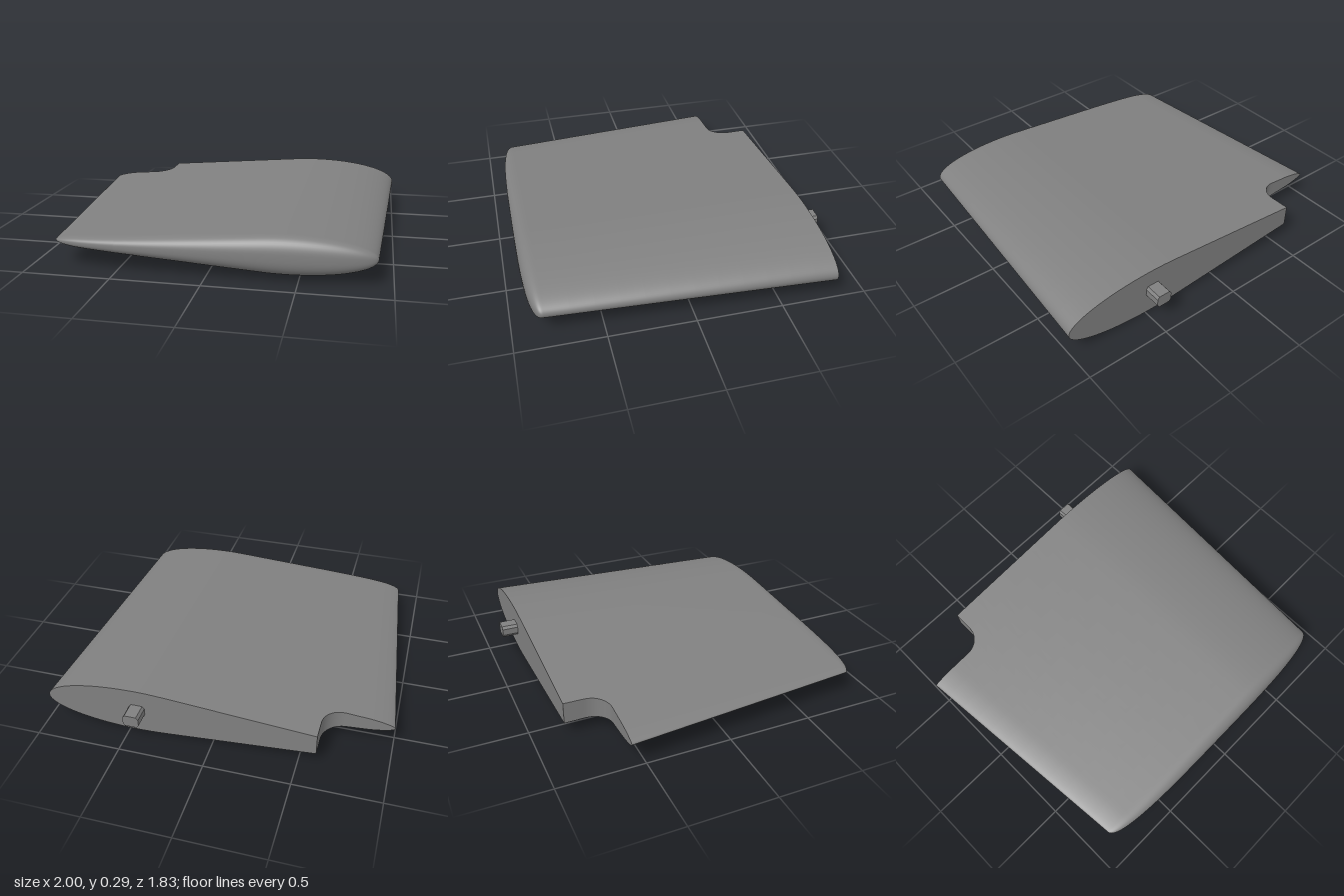
import * as THREE from 'three';
import { mergeVertices, toCreasedNormals } from 'three/addons/utils/BufferGeometryUtils.js';

const MID = 0.145, ROOT = -0.82, TIP = 0.82;
const lerp = THREE.MathUtils.lerp;
const along = z => (z - ROOT) / (TIP - ROOT);
const trailing = z => lerp(-1.022, -0.87, along(z));
const leading = z => lerp(1.0, 0.915, along(z));

// half thickness of the foil at chord fraction u (0 = trailing edge, 1 = leading edge)
function foil(u) {
  if (u > 0.73) return 0.145 * Math.sqrt(Math.max(0, 1 - ((u - 0.73) / 0.27) ** 2));
  const m = 0.167;
  const t = u > 0.65 ? 0.145 - m * (0.73 - u) ** 2 / 0.16 : 0.03 + m * u;
  return u < 0.08 ? t * Math.sqrt(Math.max(0, 1 - (1 - u / 0.08) ** 2)) : t;
}

// point on the foil at chord fraction u, span z, with k from 1 (top) to -1 (bottom)
function foilPoint(u, z, k, bulge = 0) {
  const y = foil(u) * lerp(1, 0.76, along(z)) * k;
  return [lerp(trailing(z), leading(z), u), MID + y, z + bulge];
}

// surface through rows of points
function grid(rows) {
  const n = rows[0].length, index = [];
  for (let j = 0; j < rows.length - 1; j++)
    for (let i = 0; i < n - 1; i++) {
      const a = j * n + i, b = a + n;
      index.push(a, b, a + 1, b, b + 1, a + 1);
    }
  const g = new THREE.BufferGeometry();
  g.setAttribute('position', new THREE.Float32BufferAttribute(rows.flat(2), 3));
  g.setIndex(index);
  return g;
}

// rear outline: notch, fillet, then the straight root; stored as [u, z]
function rearOutline() {
  const pts = [];
  const add = (x, z) => pts.push([(x - trailing(z)) / (leading(z) - trailing(z)), z]);
  const x0 = trailing(-0.58);
  for (let i = 0; i < 14; i++) add(lerp(x0, -0.72, (i / 14) ** 2), -0.58);
  for (let i = 0; i <= 10; i++) {
    const a = i / 10 * Math.PI / 2;
    add(-0.72 + 0.12 * Math.sin(a), -0.70 + 0.12 * Math.cos(a));
  }
  for (let i = 0; i <= 50; i++) add(lerp(-0.6, 1, Math.sin(i / 50 * Math.PI / 2)), ROOT);
  return pts;
}

export function createModel() {
  const group = new THREE.Group();
  const grey = new THREE.MeshStandardMaterial({ color: 0x808080 });
  const white = new THREE.MeshStandardMaterial({ color: 0xffffff });
  const add = (name, geometry, material = grey) => {
    const mesh = new THREE.Mesh(geometry, material);
    mesh.name = name;
    group.add(mesh);
    return mesh;
  };
  const outline = rearOutline();

  // skin: over the top, round the bulged tip, back along the underside
  const side = (t, k) => outline.map(([u, z]) => foilPoint(u, lerp(z, TIP, t), k));
  const rows = [];
  for (let j = 0; j < 12; j++) rows.push(side(j / 12, 1));
  for (let j = 0; j <= 24; j++) {
    const a = j / 24 * Math.PI, c = Math.cos(a);
    const k = Math.sign(c) * Math.abs(c) ** 0.8;
    const s = Math.max(0, Math.sin(a)) ** 0.8;
    rows.push(outline.map(([u]) => {
      const h = 0.095 * Math.max(0, 1 - Math.abs(2 * u - 1) ** 3.5) ** 0.4;
      return foilPoint(u, TIP, k, h * s);
    }));
  }
  for (let j = 11; j >= 0; j--) rows.push(side(j / 12, -1));
  const skin = mergeVertices(grid(rows), 1e-5);
  skin.computeVertexNormals();
  add('bladeSkin', skin);

  // root face, including the walls of the notch
  add('rootFace', toCreasedNormals(grid([side(0, -1), side(0, 1)]), 0.5));

  // pale panel lying on the underside next to the tip
  const panelRow = z => Array.from({ length: 13 }, (_, i) => foilPoint(lerp(0.31, 0.665, i / 12), z, -1.02));
  const panel = grid([panelRow(TIP), panelRow(0.35)]);
  panel.computeVertexNormals();
  add('undersidePanel', panel, white);

  // stub shaft: a bar with chamfered corners
  const section = new THREE.Shape([
    [0.047, -0.02], [0.047, 0.02], [0.035, 0.037], [-0.035, 0.037],
    [-0.047, 0.02], [-0.047, -0.02], [-0.035, -0.037], [0.035, -0.037],
  ].map(([x, y]) => new THREE.Vector2(x, y)));
  const stub = new THREE.ExtrudeGeometry(section, { depth: 0.12, bevelEnabled: false });
  add('stubShaft', stub).position.set(0.448, 0.15, -0.918);

  return group;
}
